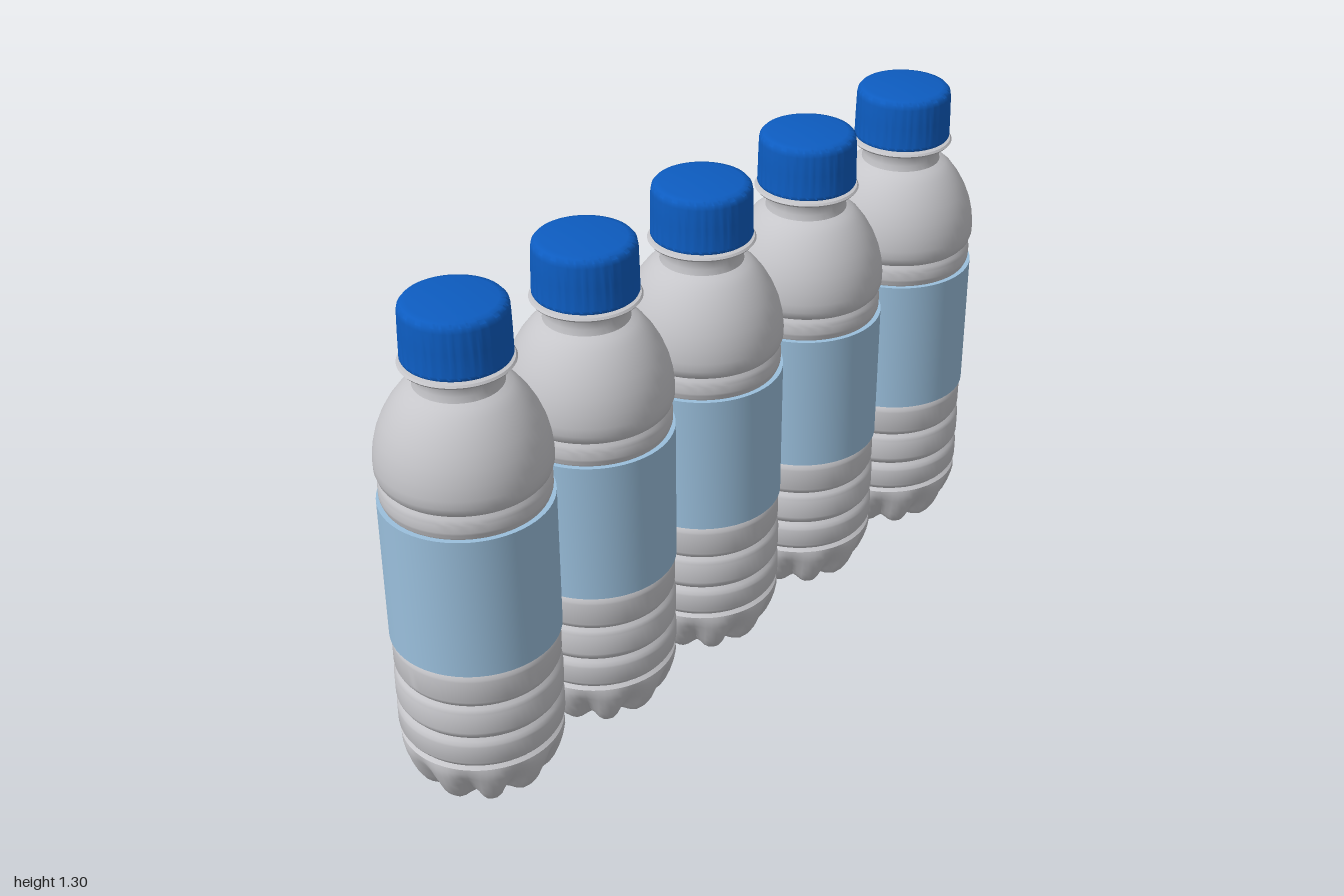
import * as THREE from 'three';
import { mergeVertices, toCreasedNormals } from 'three/addons/utils/BufferGeometryUtils.js';

const plastic = new THREE.MeshStandardMaterial({ name: 'clear grey plastic', color: 0xc6c6ca });
const labelBlue = new THREE.MeshStandardMaterial({ name: 'pale blue label', color: 0x9abfdc });
const capBlue = new THREE.MeshStandardMaterial({ name: 'cap blue', color: 0x0d5cc0 });

// Revolve [radius, y] pairs, listed bottom to top; reshape(radius, y, angle) may alter the radius
function revolve(profile, segments, reshape) {
  let geo = new THREE.LatheGeometry(profile.map(([r, y]) => new THREE.Vector2(r, y)), segments);
  const p = geo.attributes.position;
  if (reshape) {
    for (let i = 0; i < p.count; i++) {
      const x = p.getX(i), z = p.getZ(i), r = Math.hypot(x, z);
      if (r < 1e-5) continue;
      const k = reshape(r, p.getY(i), Math.atan2(x, z)) / r;
      p.setX(i, x * k);
      p.setZ(i, z * k);
    }
  }
  geo.deleteAttribute('normal');
  geo.deleteAttribute('uv');
  geo = mergeVertices(geo, 1e-5);
  return toCreasedNormals(geo, 0.7);
}

// Rounded horizontal rib between two grooves
function rib(y0, y1, groove, outer) {
  const pts = [], b = Math.min(0.022, (y1 - y0) / 2.5);
  for (const t of [0, 0.35, 0.75, 1]) pts.push([groove + (outer - groove) * Math.sin(t * Math.PI / 2), y0 + b * t]);
  for (const t of [1, 0.75, 0.35, 0]) pts.push([groove + (outer - groove) * Math.sin(t * Math.PI / 2), y1 - b * t]);
  return pts;
}

// Ten feet divided by V-shaped flutes that deepen toward the floor
function fluteBase(r, y, a) {
  const wave = Math.pow(0.5 + 0.5 * Math.cos(a * 10 + Math.PI), 1.7);
  const depth = 0.036 * THREE.MathUtils.clamp((0.145 - y) / 0.11, 0, 1);
  return r - depth * wave * Math.min(1, r / 0.13);
}

// Fine grip ridges on the cap wall
function ridgeCap(r, y, a) {
  return y > 1.172 && y < 1.284 && r > 0.12 ? r - 0.0018 * (0.5 + 0.5 * Math.cos(a * 36)) : r;
}

const geometries = {
  base: [revolve([
    [0, 0.004], [0.10, 0.004], [0.132, 0.004], [0.148, 0.012], [0.163, 0.028], [0.177, 0.052],
    [0.189, 0.082], [0.197, 0.11], [0.201, 0.132], [0.199, 0.147], [0.19, 0.155],
  ], 80, fluteBase), plastic],
  lowerRibs: [revolve([
    ...rib(0.155, 0.24, 0.19, 0.202), ...rib(0.24, 0.335, 0.19, 0.202).slice(1),
    ...rib(0.335, 0.432, 0.19, 0.2).slice(1),
  ], 64), plastic],
  label: [revolve([[0.186, 0.432], [0.2045, 0.432], [0.2045, 0.805], [0.186, 0.805]], 64), labelBlue],
  upperRib: [revolve(rib(0.803, 0.865, 0.191, 0.1985), 64), plastic],
  shoulder: [revolve([
    [0.191, 0.865], [0.198, 0.873], [0.2035, 0.89], [0.204, 0.912], [0.2005, 0.945], [0.192, 0.98],
    [0.178, 1.015], [0.16, 1.047], [0.139, 1.075], [0.12, 1.092], [0.104, 1.1],
  ], 64), plastic],
  neck: [revolve([
    [0.104, 1.1], [0.101, 1.115], [0.101, 1.138], [0.108, 1.147], [0.129, 1.15],
    [0.133, 1.155], [0.129, 1.16], [0.108, 1.163], [0.108, 1.172],
  ], 64), plastic],
  cap: [revolve([
    [0.1, 1.166], [0.124, 1.166], [0.126, 1.17], [0.126, 1.176], [0.125, 1.23], [0.1235, 1.28],
    [0.121, 1.292], [0.114, 1.3], [0.1, 1.303], [0, 1.305],
  ], 144, ridgeCap), capBlue],
};

function createBottle() {
  const bottle = new THREE.Group();
  for (const [name, [geometry, material]] of Object.entries(geometries)) {
    const mesh = new THREE.Mesh(geometry, material);
    mesh.name = name;
    bottle.add(mesh);
  }
  return bottle;
}

export function createModel() {
  const model = new THREE.Group();
  model.name = 'bottleRow';
  // Five bottles side by side, just touching
  for (let i = 0; i < 5; i++) {
    const bottle = createBottle();
    bottle.name = `bottle${i + 1}`;
    bottle.position.x = (i - 2) * 0.398;
    model.add(bottle);
  }
  return model;
}
